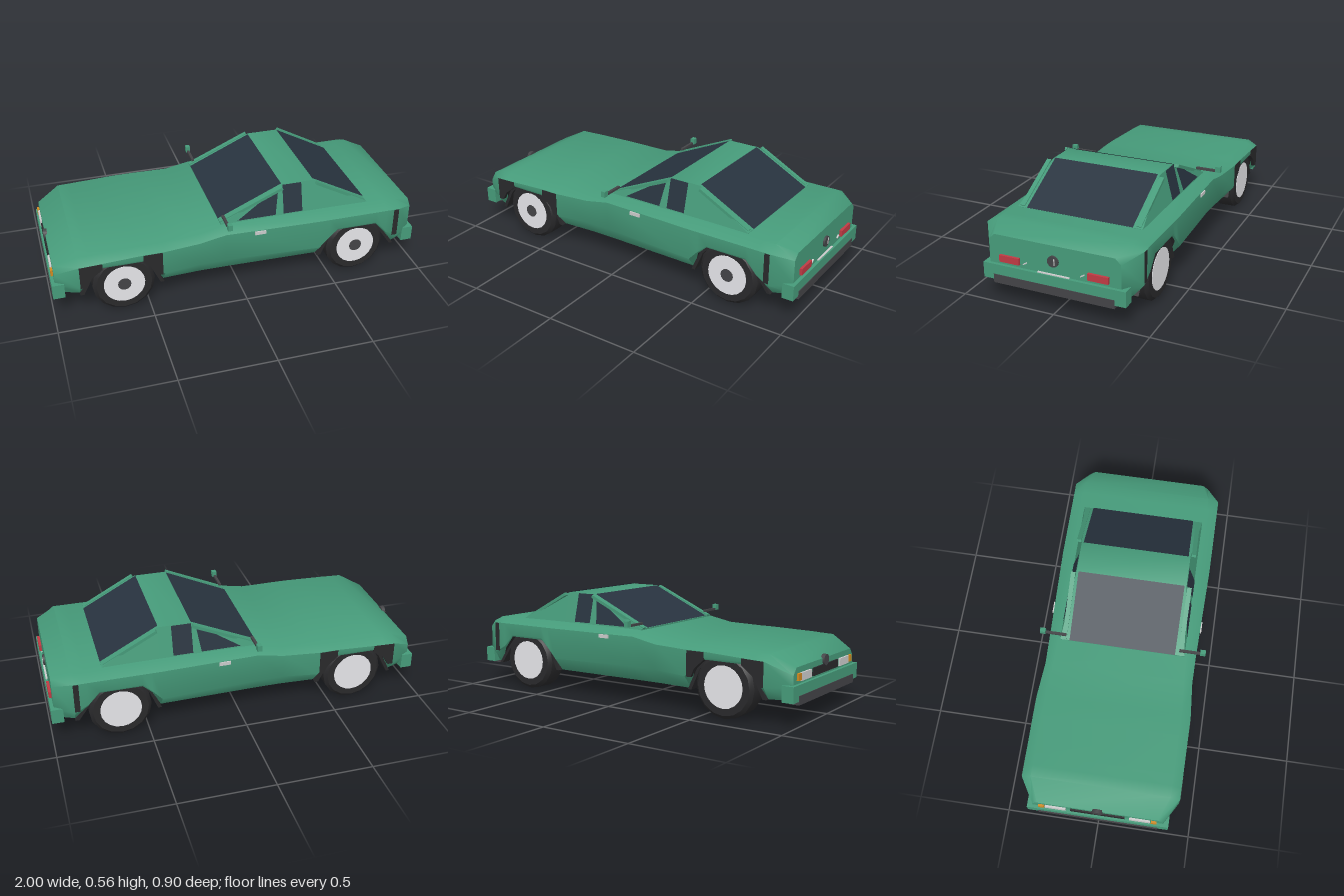
import * as THREE from 'three';
import { toCreasedNormals } from 'three/addons/utils/BufferGeometryUtils.js';

const mat = (color) => new THREE.MeshStandardMaterial({ color, side: THREE.DoubleSide });
const GREEN = mat(0x469b7a), GLASS = mat(0x28333f), BLACK = mat(0x29292b), DARK = mat(0x444447);
const RED = mat(0xc03a44), AMBER = mat(0xd08a20), WHITE = mat(0xe8e8e8), GREY = mat(0xe6e6ea);

// Skins closed rings of [x, y, z] points; keep(j) picks which strips are built.
function loft(rings, keep, caps) {
  const n = rings[0].length, index = [];
  for (let i = 0; i < rings.length - 1; i++) {
    for (let j = 0; j < n; j++) {
      if (!keep(j)) continue;
      const a = i * n + j, d = i * n + (j + 1) % n, b = a + n, c = d + n;
      index.push(a, d, c, a, c, b);
    }
  }
  const last = (rings.length - 1) * n;
  for (let k = 1; caps && k < n - 1; k++) index.push(0, k + 1, k, last, last + k, last + k + 1);
  const g = new THREE.BufferGeometry();
  g.setAttribute('position', new THREE.Float32BufferAttribute(rings.flat(2), 3));
  g.setIndex(index);
  return toCreasedNormals(g, 0.8);
}

// Ring from a half section of [y, z] points running top to bottom on the +z side.
const mirrorRing = (x, half) => [
  ...half.map(([y, z]) => [x, y, z]),
  ...half.slice().reverse().map(([y, z]) => [x, y, -z]),
];

// Flat four-cornered pane
function pane(pts) {
  const g = new THREE.BufferGeometry();
  g.setAttribute('position', new THREE.Float32BufferAttribute(pts.flat(), 3));
  g.setIndex([0, 1, 2, 0, 2, 3]);
  g.computeVertexNormals();
  return g;
}

// Plate cut from an [x, y] outline
const plate = (pts, depth) => new THREE.ExtrudeGeometry(
  new THREE.Shape(pts.map(([x, y]) => new THREE.Vector2(x, y))), { depth, bevelEnabled: false });

export function createModel() {
  const car = new THREE.Group();
  car.name = 'car';
  const add = (name, geometry, material, x = 0, y = 0, z = 0) => {
    const m = new THREE.Mesh(geometry, material);
    m.name = name;
    m.position.set(x, y, z);
    car.add(m);
    return m;
  };
  // Box given by its limits on each axis
  const box = (name, material, [x0, x1], [y0, y1], [z0, z1]) =>
    add(name, new THREE.BoxGeometry(x1 - x0, y1 - y0, z1 - z0), material,
      (x0 + x1) / 2, (y0 + y1) / 2, (z0 + z1) / 2);

  // Body stations: x, bottom y, sill y, waist y, top y, bottom z, side z, top z
  const stations = [
    [-0.98, 0.125, 0.19, 0.25, 0.285, 0.32, 0.35, 0.32],
    [-0.86, 0.125, 0.19, 0.315, 0.345, 0.365, 0.42, 0.37],
    [-0.80, 0.24, 0.25, 0.317, 0.347, 0.41, 0.42, 0.37],
    [-0.74, 0.29, 0.30, 0.32, 0.35, 0.415, 0.42, 0.37],
    [-0.53, 0.29, 0.30, 0.33, 0.355, 0.415, 0.42, 0.37],
    [-0.475, 0.24, 0.25, 0.33, 0.356, 0.41, 0.42, 0.37],
    [-0.42, 0.125, 0.195, 0.33, 0.356, 0.36, 0.42, 0.37],
    [-0.23, 0.125, 0.205, 0.335, 0.362, 0.35, 0.405, 0.36],
    [-0.09, 0.125, 0.205, 0.362, 0.39, 0.35, 0.405, 0.355],
    [0.43, 0.125, 0.195, 0.362, 0.392, 0.36, 0.42, 0.36],
    [0.48, 0.24, 0.25, 0.362, 0.392, 0.41, 0.42, 0.36],
    [0.53, 0.29, 0.30, 0.362, 0.392, 0.415, 0.42, 0.36],
    [0.75, 0.29, 0.30, 0.362, 0.39, 0.415, 0.42, 0.36],
    [0.81, 0.22, 0.23, 0.362, 0.39, 0.41, 0.42, 0.36],
    [0.88, 0.125, 0.19, 0.362, 0.39, 0.365, 0.42, 0.36],
    [0.98, 0.125, 0.19, 0.325, 0.355, 0.32, 0.35, 0.32],
  ];
  const rings = stations.map(([x, yb, yl, ys, yt, zb, zs, zt]) =>
    mirrorRing(x, [[yt, zt], [ys, zs], [yl, zs], [yb, zb]]));
  add('body', loft(rings, (j) => j !== 3, true), GREEN);
  add('underside', loft(rings, (j) => j === 3, false), BLACK);

  // Cabin with straight leaning walls
  const wallZ = (y) => 0.345 - 0.045 * (y - 0.38) / 0.175;
  const roofLine = [[-0.1, 0.395], [0.25, 0.553], [0.42, 0.553], [0.72, 0.392]];
  add('cabin', loft(roofLine.map(([x, y]) => mirrorRing(x, [[y, wallZ(y)], [0.38, 0.345]])),
    () => true, true), GREEN);

  // Windscreen and rear window, laid just above the cabin slopes
  const slopePane = (x0, y0, x1, y1) =>
    pane([[x0, y0, 0.29], [x1, y1, 0.29], [x1, y1, -0.29], [x0, y0, -0.29]]);
  add('windscreen', slopePane(-0.102, 0.397, 0.243, 0.553), GLASS);
  add('rearWindow', slopePane(0.417, 0.557, 0.722, 0.394), GLASS);

  // Front arch trims and the lips round all arches
  const trims = [
    [[-0.858, 0.19], [-0.858, 0.315], [-0.74, 0.319], [-0.74, 0.285], [-0.80, 0.24], [-0.83, 0.19]],
    [[-0.53, 0.328], [-0.43, 0.328], [-0.43, 0.195], [-0.455, 0.195], [-0.475, 0.24], [-0.53, 0.29]],
  ].map((p) => plate(p, 0.02));
  const lips = [
    [[-0.86, 0.125], [-0.80, 0.245], [-0.74, 0.30], [-0.53, 0.30], [-0.475, 0.245], [-0.42, 0.125],
      [-0.44, 0.125], [-0.49, 0.235], [-0.54, 0.284], [-0.73, 0.284], [-0.785, 0.235], [-0.84, 0.125]],
    [[0.43, 0.125], [0.48, 0.245], [0.53, 0.30], [0.75, 0.30], [0.81, 0.225], [0.88, 0.125],
      [0.86, 0.125], [0.795, 0.215], [0.74, 0.284], [0.54, 0.284], [0.495, 0.235], [0.45, 0.125]],
  ].map((p) => plate(p, 0.05));

  for (const s of [1, -1]) {
    const zs = (a, b) => (s > 0 ? [a, b] : [-b, -a]);

    // Side glass
    const onWall = (pts) => pane(pts.map(([x, y]) => [x, y, s * (wallZ(y) + 0.003)]));
    add('doorWindow', onWall([[-0.01, 0.398], [0.2, 0.398], [0.222, 0.535], [0.19, 0.522]]), GLASS);
    add('quarterWindow', onWall([[0.245, 0.398], [0.35, 0.398], [0.35, 0.552], [0.245, 0.552]]), GLASS);

    // Raised rails beside the windscreen and rear window
    for (const [name, x0, y0, x1, y1] of [
      ['frontRail', -0.1, 0.393, 0.24, 0.544], ['rearRail', 0.43, 0.544, 0.71, 0.393]]) {
      const rail = add(name, new THREE.BoxGeometry(Math.hypot(x1 - x0, y1 - y0), 0.016, 0.024), GREEN,
        (x0 + x1) / 2, (y0 + y1) / 2, s * 0.318);
      rail.rotation.z = Math.atan2(y1 - y0, x1 - x0);
    }

    // Mirror, handle and trims
    box('mirrorStalk', DARK, [-0.088, -0.074], [0.414, 0.426], zs(0.31, 0.43));
    box('mirrorHead', GREEN, [-0.092, -0.068], [0.415, 0.447], zs(0.423, 0.452));
    box('doorHandle', WHITE, [0.065, 0.125], [0.34, 0.359], zs(0.395, 0.417));
    for (const trim of trims) add('archTrim', trim, BLACK, 0, 0, s > 0 ? 0.402 : -0.422);
    for (const lip of lips) add('archLip', lip, BLACK, 0, 0, s > 0 ? 0.34 : -0.39);
    box('rearSideTrim', BLACK, [0.852, 0.88], [0.2, 0.36], zs(0.4, 0.422));

    // Lights
    box('tailLight', RED, [0.97, 0.994], [0.22, 0.255], zs(0.182, 0.29));
    box('headlight', WHITE, [-0.99, -0.97], [0.215, 0.255], zs(0.17, 0.28));
    box('indicator', AMBER, [-0.992, -0.965], [0.22, 0.255], zs(0.285, 0.315));
    const dash = box('rearAccent', WHITE, [0.975, 0.988], [0.23, 0.235], zs(0.142, 0.164));
    dash.rotation.x = 0.55;

    // Bumpers, with s choosing the end of the car
    box('bumper', GREEN, zs(0.935, 0.997), [0.122, 0.203], [-0.38, 0.38]);
    box('bumperStrip', DARK, zs(0.945, 1), [0.105, 0.15], [-0.323, 0.323]);
    const cap = add('roundCap', new THREE.CylinderGeometry(0.029, 0.029, 0.02, 16), DARK, s * 0.98, 0.275, 0);
    cap.rotation.z = Math.PI / 2;
  }

  // Grille, boot trim and lock slot
  box('grille', BLACK, [-0.988, -0.965], [0.215, 0.255], [-0.145, 0.145]);
  box('bootTrim', WHITE, [0.97, 0.99], [0.201, 0.208], [-0.085, 0.085]);
  box('lockSlot', WHITE, [0.985, 0.993], [0.258, 0.292], [-0.012, -0.007]);

  // Wheels: chamfered tyre, disc and hub
  const tyre = toCreasedNormals(new THREE.LatheGeometry([
    [0.0, -0.063], [0.145, -0.063], [0.163, -0.045], [0.163, 0.045], [0.145, 0.063], [0.0, 0.063],
  ].map(([r, y]) => new THREE.Vector2(r, y)), 16), 0.5).rotateX(Math.PI / 2);
  const disc = new THREE.CylinderGeometry(0.108, 0.108, 0.13, 20).rotateX(Math.PI / 2);
  const hub = new THREE.CylinderGeometry(0.035, 0.035, 0.02, 12).rotateX(Math.PI / 2);
  for (const x of [-0.632, 0.645]) {
    for (const z of [-0.34, 0.34]) {
      add('tyre', tyre, BLACK, x, 0.163, z);
      add('wheelDisc', disc, GREY, x, 0.163, z);
      add('wheelHub', hub, DARK, x, 0.163, z + 0.058);
    }
  }
  return car;
}
